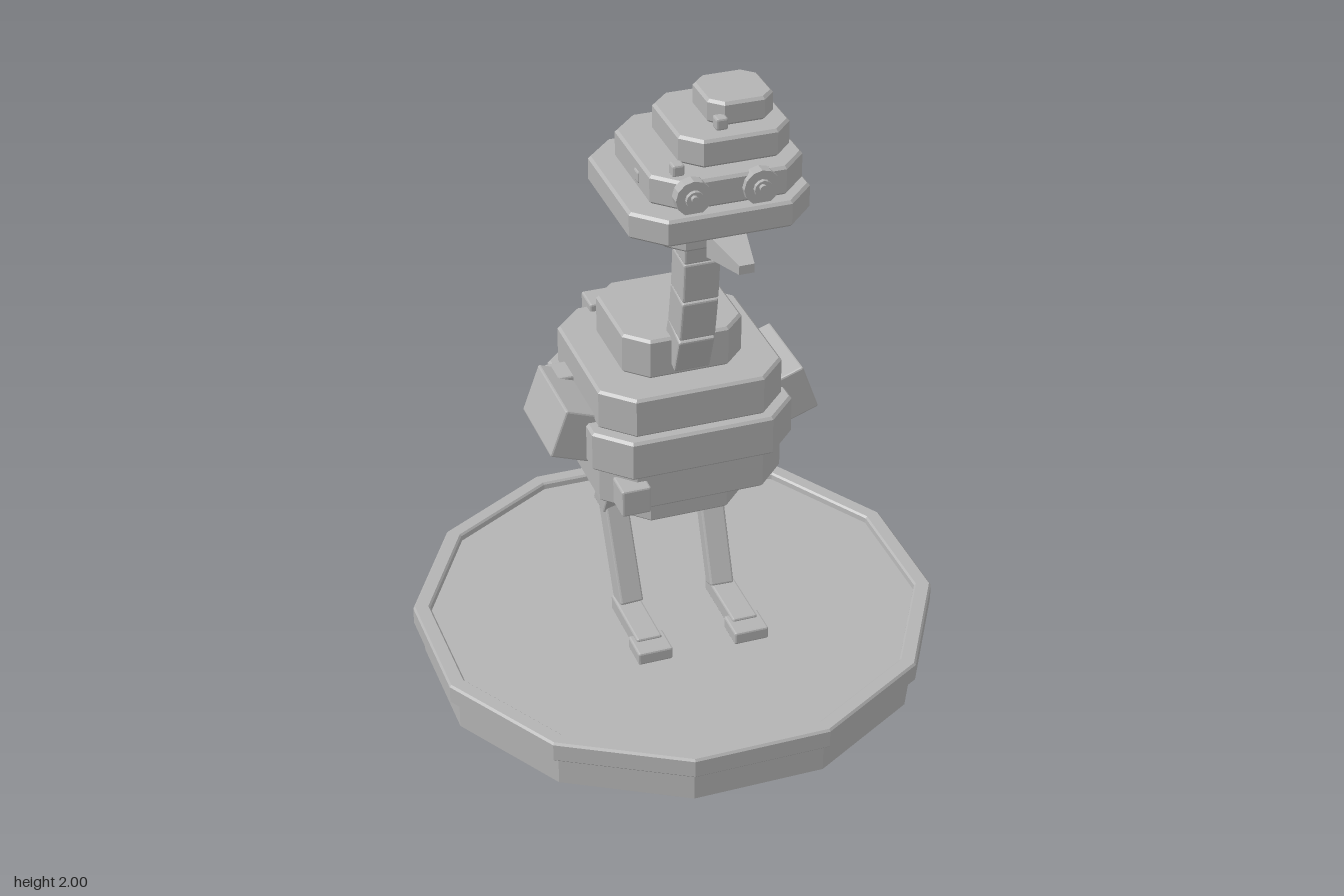
import * as THREE from 'three';
import { RoundedBoxGeometry } from 'three/addons/geometries/RoundedBoxGeometry.js';

const stone = new THREE.MeshStandardMaterial({ color: 0xb3b3b3 });
stone.name = 'stone grey';
stone.flatShading = true;

function add(parent, name, geometry, x = 0, y = 0, z = 0) {
  const mesh = new THREE.Mesh(geometry, stone);
  mesh.name = name;
  mesh.position.set(x, y, z);
  parent.add(mesh);
  return mesh;
}

// Square slab with cut corners and a fine bevel, from y0 to y1
function slab(parent, name, x, z, half, cut, y0, y1) {
  const b = 0.008, h = half - b, c = h - cut;
  const shape = new THREE.Shape([
    [h, -c], [h, c], [c, h], [-c, h], [-h, c], [-h, -c], [-c, -h], [c, -h],
  ].map(([u, v]) => new THREE.Vector2(u, v)));
  const geometry = new THREE.ExtrudeGeometry(shape, {
    depth: y1 - y0 - 2 * b, bevelEnabled: true, bevelSegments: 1, bevelSize: b, bevelThickness: b,
  });
  geometry.rotateX(-Math.PI / 2);
  return add(parent, name, geometry, x, y0 + b, z);
}

function box(parent, name, w, h, d, x, y, z) {
  return add(parent, name, new RoundedBoxGeometry(w, h, d, 1, 0.006), x, y, z);
}

// Box running between two points
function limb(parent, name, a, b, w, d) {
  const from = new THREE.Vector3(...a), to = new THREE.Vector3(...b);
  const dir = to.clone().sub(from);
  const mid = from.add(to).multiplyScalar(0.5);
  const mesh = box(parent, name, w, dir.length(), d, mid.x, mid.y, mid.z);
  mesh.quaternion.setFromUnitVectors(new THREE.Vector3(0, 1, 0), dir.normalize());
  return mesh;
}

function group(parent, name) {
  const g = new THREE.Group();
  g.name = name;
  parent.add(g);
  return g;
}

export function createModel() {
  const model = new THREE.Group();
  model.name = 'bird statue';

  // Twelve-sided plinth with a shallow recess
  const profile = [
    [0, 0], [0.78, 0], [0.78, 0.1], [0.804, 0.1], [0.81, 0.106], [0.81, 0.16],
    [0.804, 0.167], [0.763, 0.167], [0.757, 0.161], [0.755, 0.145], [0, 0.145],
  ].map(([r, y]) => new THREE.Vector2(r, y));
  add(model, 'base', new THREE.LatheGeometry(profile, 12, Math.PI / 12));

  // Stacked body
  const body = group(model, 'body');
  [
    [0.185, 0.06, 0.56, 0.68], [0.284, 0.083, 0.68, 0.807], [0.311, 0.09, 0.807, 0.935],
    [0.284, 0.083, 0.935, 1.062], [0.185, 0.06, 1.062, 1.19],
  ].forEach(([half, cut, y0, y1]) => slab(body, 'bodyLayer', 0, -0.046, half, cut, y0, y1));

  // Feather tufts on the body
  [
    [-0.21, 0.738, 0.23], [0.17, 0.738, -0.315], [0, 0.932, -0.365],
    [-0.12, 1.042, -0.333], [-0.302, 0.932, -0.135],
  ].forEach(([x, y, z]) => box(body, 'tuft', 0.09, 0.088, 0.09, x, y, z));

  // Wings and legs, mirrored
  for (const s of [1, -1]) {
    const side = s > 0 ? 'left' : 'right';
    const wing = box(model, side + 'Wing', 0.125, 0.157, 0.28, s * 0.337, 0.895, -0.026);
    wing.rotation.z = s * 0.345;

    const leg = group(model, side + 'Leg');
    limb(leg, 'thigh', [s * 0.145, 0.67, -0.05], [s * 0.153, 0.475, -0.132], 0.1, 0.07);
    limb(leg, 'shin', [s * 0.155, 0.485, -0.125], [s * 0.15, 0.185, 0.01], 0.075, 0.065);
    box(leg, 'foot', 0.08, 0.052, 0.25, s * 0.155, 0.17, 0.095);
    box(leg, 'toes', 0.11, 0.042, 0.1, s * 0.155, 0.166, 0.23);
  }

  // Bent neck
  const neck = group(model, 'neck');
  const path = [[0.112, 1.105], [0.155, 1.225], [0.18, 1.36], [0.193, 1.49], [0.203, 1.62]];
  for (let i = 0; i < path.length - 1; i++) {
    limb(neck, 'neckSegment', [0, path[i][1], path[i][0]], [0, path[i + 1][1], path[i + 1][0]], 0.11, 0.107);
  }

  // Stacked head, each layer with its own offset
  const head = group(model, 'head');
  [
    [0, 0.2, 0.13, 0.045, 1.575, 1.68], [0, 0.203, 0.263, 0.08, 1.68, 1.76],
    [0.028, 0.205, 0.222, 0.07, 1.76, 1.847], [0.065, 0.203, 0.162, 0.05, 1.847, 1.93],
    [0.1, 0.203, 0.096, 0.033, 1.93, 2],
  ].forEach(([x, z, half, cut, y0, y1]) => slab(head, 'headLayer', x, z, half, cut, y0, y1));
  [
    [-0.12, 1.861, 0.365], [0.028, 1.947, 0.302], [0.217, 1.903, 0.1], [-0.181, 1.798, 0.25],
  ].forEach(([x, y, z]) => box(head, 'headTuft', 0.035, 0.036, 0.036, x, y, z));

  // Eyes of three stepped discs
  for (const s of [1, -1]) {
    const eye = group(head, s > 0 ? 'leftEye' : 'rightEye');
    eye.position.set(s * 0.098, 1.805, 0);
    [
      ['eyeball', 0.052, 0.41, 0.444, 0], ['pupil', 0.026, 0.44, 0.456, 0], ['glint', 0.01, 0.45, 0.468, 0.008],
    ].forEach(([name, r, z0, z1, up]) => {
      const disc = new THREE.CylinderGeometry(r, r, z1 - z0, 12).rotateX(Math.PI / 2);
      add(eye, name, disc, -up / 2, up, (z0 + z1) / 2);
    });
  }

  // Tapered beak: box narrowed towards its tip
  const beak = new THREE.BoxGeometry(0.11, 0.075, 0.165);
  const p = beak.attributes.position;
  for (let i = 0; i < p.count; i++) {
    if (p.getZ(i) > 0) p.setXY(i, p.getX(i) * 0.4, p.getY(i) * 0.36 + 0.002);
  }
  add(head, 'beak', beak, 0, 1.646, 0.508);

  return model;
}
